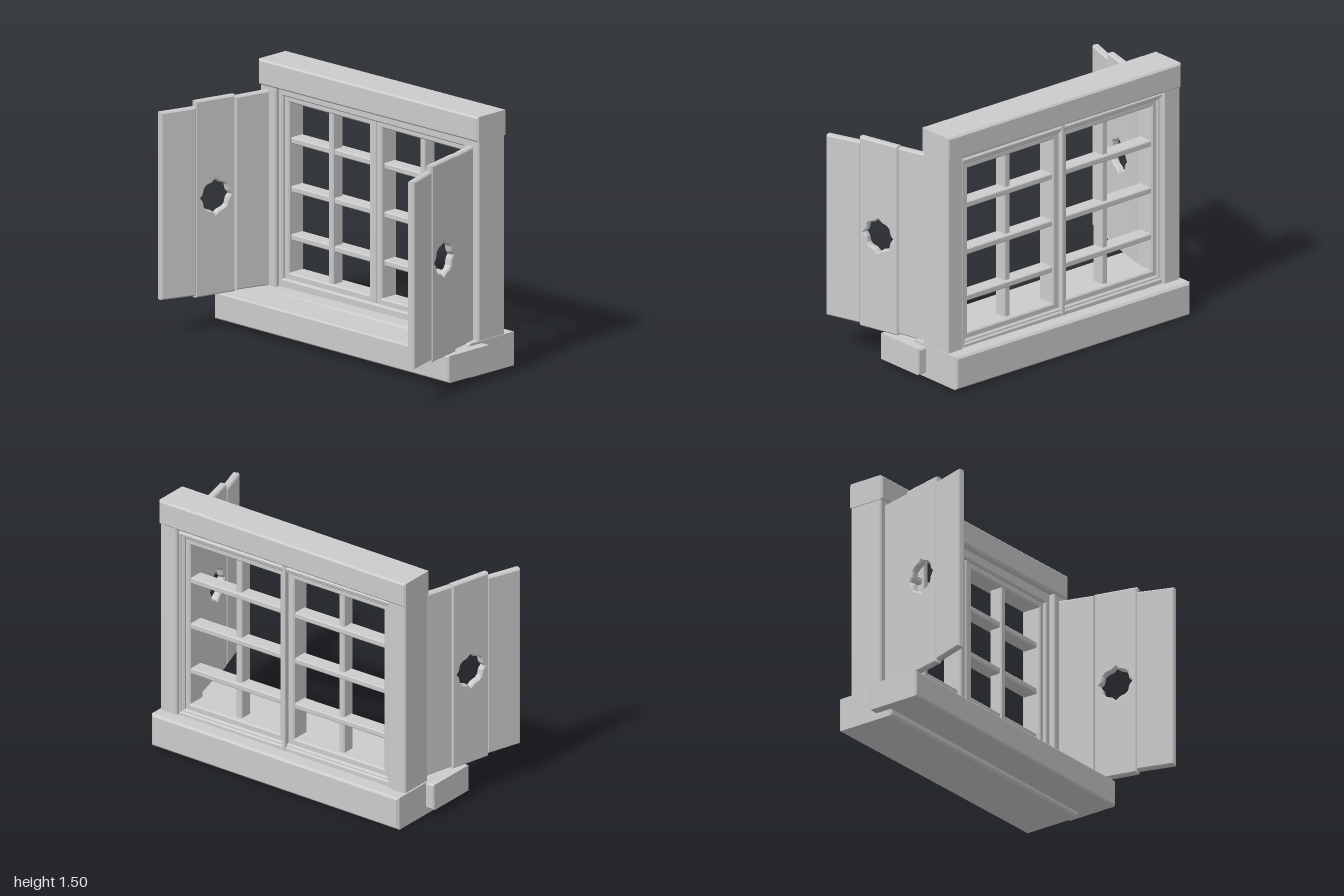
import * as THREE from 'three';

const material = new THREE.MeshStandardMaterial({ color: 0xcccccc, flatShading: true });

function rect(path, u0, u1, v0, v1) {
  path.moveTo(u0, v0);
  path.lineTo(u1, v0);
  path.lineTo(u1, v1);
  path.lineTo(u0, v1);
  path.closePath();
  return path;
}

// Chamfered slab: outline in XY, thickness centred on Z
function slab(shape, thickness, bevel) {
  const geo = new THREE.ExtrudeGeometry(shape, {
    depth: thickness - 2 * bevel, bevelEnabled: true, bevelSegments: 1,
    bevelThickness: bevel, bevelSize: bevel, bevelOffset: -bevel, curveSegments: 6,
  });
  return geo.translate(0, 0, bevel - thickness / 2);
}

function addMesh(parent, name, geo) {
  const mesh = new THREE.Mesh(geo, material);
  mesh.name = name;
  parent.add(mesh);
  return mesh;
}

// Panel facing +x, from x0 to x1, with an optional opening [z0, z1, y0, y1].
// tilt drops it slightly toward -z, for a hand-hewn look.
function beam(parent, name, [x0, x1], [y0, y1], [z0, z1], { bevel = 0.008, tilt = 0, opening } = {}) {
  const shape = rect(new THREE.Shape(), -z1, -z0, y0, y1);
  if (opening) {
    const [a, b, c, d] = opening;
    shape.holes.push(rect(new THREE.Path(), -b, -a, c, d));
  }
  const geo = slab(shape, x1 - x0, bevel);
  geo.rotateY(Math.PI / 2).translate((x0 + x1) / 2, 0, 0);
  const p = geo.attributes.position;
  for (let i = 0; i < p.count; i++) p.setY(i, p.getY(i) + tilt * p.getZ(i));
  geo.computeVertexNormals();
  return addMesh(parent, name, geo);
}

// Four-lobed cutout with small points at top, bottom and sides
function cutout(cx, cy) {
  const quarter = [[0.097, 0], [0.079, 0.022], [0.072, 0.055], [0.056, 0.07], [0.022, 0.081], [0, 0.1]];
  const back = quarter.slice(1, -1).reverse();
  const pts = [
    ...quarter,
    ...back.map(([x, y]) => [-x, y]), [-0.097, 0],
    ...quarter.slice(1).map(([x, y]) => [-x, -y]),
    ...back.map(([x, y]) => [x, -y]),
  ];
  return new THREE.Path(pts.map(([x, y]) => new THREE.Vector2(cx + x, cy + y)));
}

// Plank standing between two floor points [x, z]
function plank(parent, name, a, b, [y0, y1], slope, hole) {
  const dx = b[0] - a[0], dz = b[1] - a[1], w = Math.hypot(dx, dz);
  const shape = new THREE.Shape();
  shape.moveTo(0, y0);
  shape.lineTo(w, y0 - slope);
  shape.lineTo(w, y1 + slope);
  shape.lineTo(0, y1);
  shape.closePath();
  if (hole) shape.holes.push(cutout(w / 2, 0.76));
  const mesh = addMesh(parent, name, slab(shape, 0.044, 0.008));
  mesh.position.set(a[0], 0, a[1]);
  mesh.rotation.y = Math.atan2(-dz, dx);
}

export function createModel() {
  const model = new THREE.Group();
  model.name = 'shutteredWindow';

  // Sills and lintel
  beam(model, 'innerSill', [0.11, 0.475], [0.008, 0.203], [-0.855, 0.855], { bevel: 0.012, tilt: 0.008 });
  beam(model, 'outerSill', [-0.105, 0.22], [0.04, 0.195], [-0.91, 0.91]);
  beam(model, 'lintel', [0.178, 0.406], [1.347, 1.493], [-0.85, 0.855], { bevel: 0.01, tilt: 0.007 });

  // Posts and the casing set between them
  beam(model, 'leftPost', [0.19, 0.398], [0.19, 1.36], [0.735, 0.85]);
  beam(model, 'rightPost', [0.19, 0.398], [0.18, 1.36], [-0.845, -0.725]);
  beam(model, 'casing', [0.22, 0.375], [0.18, 1.36], [-0.745, 0.745], { opening: [-0.7, 0.7, 0.245, 1.295] });
  beam(model, 'casingLip', [0.235, 0.385], [0.19, 1.335], [-0.735, 0.735], { opening: [-0.715, 0.715, 0.23, 1.31] });

  // Two sashes with glazing bars
  for (const s of [1, -1]) {
    const sash = new THREE.Group();
    sash.name = s > 0 ? 'leftSash' : 'rightSash';
    model.add(sash);
    const span = (a, b) => (s > 0 ? [a, b] : [-b, -a]);
    beam(sash, 'sashFrame', [0.24, 0.36], [0.235, 1.3], span(0.004, 0.71), {
      opening: [...span(0.05, 0.67), 0.28, 1.26],
    });
    beam(sash, 'verticalBar', [0.25, 0.33], [0.27, 1.27], span(0.335, 0.375), { bevel: 0.006 });
    for (const y of [0.48, 0.757, 1.037]) {
      beam(sash, 'horizontalBar', [0.26, 0.352], [y - 0.018, y + 0.018], span(0.045, 0.68), { bevel: 0.006 });
    }
  }
  beam(model, 'meetingStrip', [0.235, 0.39], [0.2, 1.345], [-0.01, 0.01], { bevel: 0.004 });

  // Open shutters, each of three planks
  for (const s of [1, -1]) {
    const shutter = new THREE.Group();
    shutter.name = s > 0 ? 'leftShutter' : 'rightShutter';
    model.add(shutter);
    plank(shutter, 'innerPlank', [0.19, s * 0.788], [-0.018, s * 0.842], [0.2, 1.32], -0.004);
    plank(shutter, 'middlePlank', [-0.012, s * 0.85], [-0.262, s * 0.911], [0.195, 1.325], 0, true);
    plank(shutter, 'outerPlank', [-0.26, s * 0.906], [-0.468, s * 0.976], [0.208, 1.292], -0.003);
  }
  return model;
}
